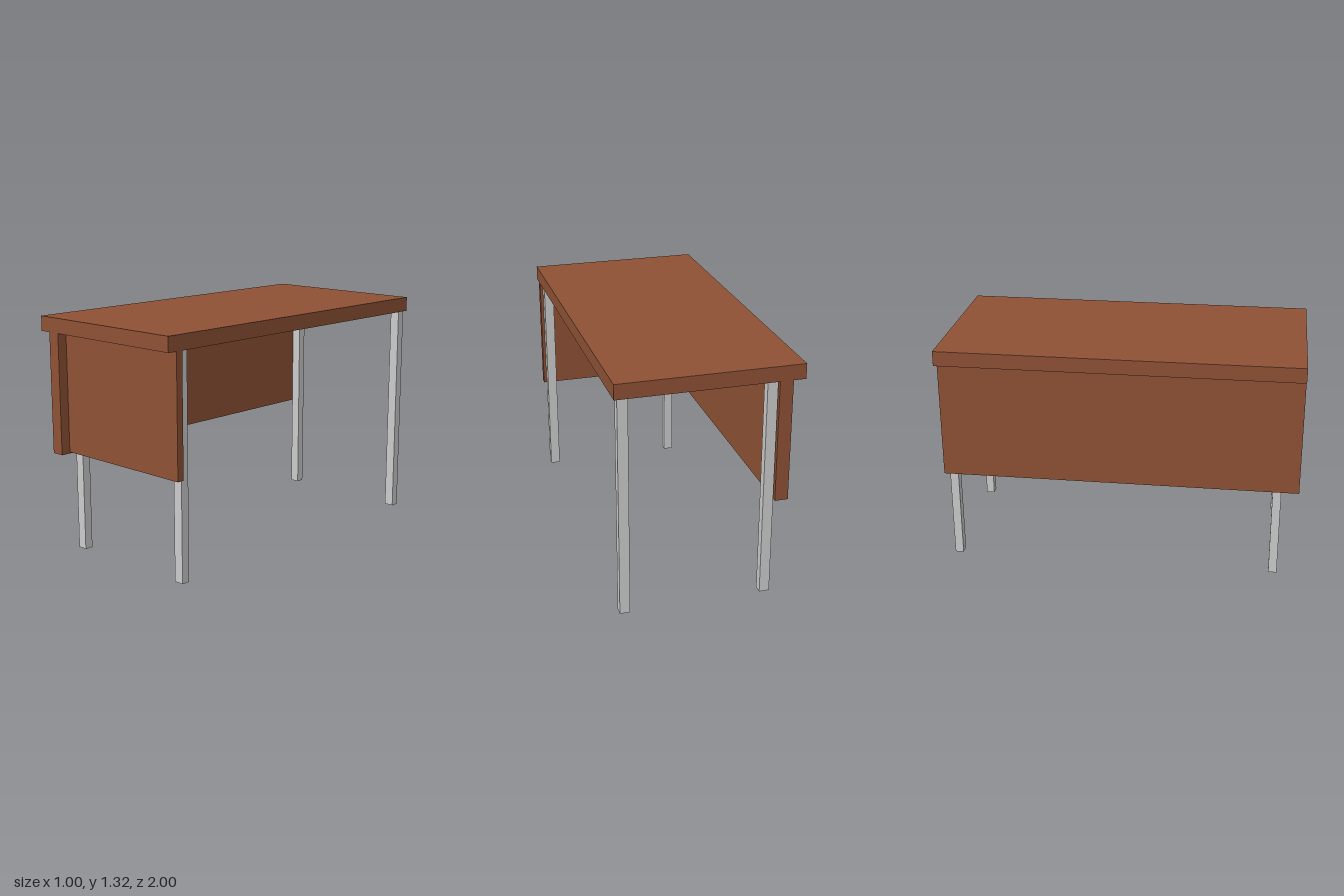
import * as THREE from 'three';

export function createModel() {
  const desk = new THREE.Group();
  desk.name = 'desk';
  const wood = new THREE.MeshStandardMaterial({ color: 0x8e5135 });
  const metal = new THREE.MeshStandardMaterial({
    color: 0xcccccc, flatShading: true, side: THREE.DoubleSide,
  });

  // Wooden board given by its minimum and maximum corners
  function board(name, min, max) {
    const size = max.map((v, i) => v - min[i]);
    const mesh = new THREE.Mesh(new THREE.BoxGeometry(...size), wood);
    mesh.position.set(...max.map((v, i) => (v + min[i]) / 2));
    mesh.name = name;
    desk.add(mesh);
  }

  const underside = 1.232;
  board('desktop', [-0.5, underside, -1], [0.5, 1.315, 1]);
  board('longPanel', [-0.433, 0.555, -1], [-0.36, underside, 1]);
  board('endPanel', [-0.36, 0.563, 0.905], [0.5, underside, 0.945]);

  // Hollow square legs, open at the ends
  const legGeometry = new THREE.CylinderGeometry(Math.SQRT1_2, Math.SQRT1_2, 1, 4, 1, true);
  legGeometry.rotateY(Math.PI / 4);
  legGeometry.scale(0.056, underside, 0.048);
  for (const [xName, x] of [['Right', -0.326], ['Left', 0.455]]) {
    for (const [zName, z] of [['front', 0.88], ['back', -0.966]]) {
      const leg = new THREE.Mesh(legGeometry, metal);
      leg.name = `${zName}${xName}Leg`;
      leg.position.set(x, underside / 2, z);
      desk.add(leg);
    }
  }
  return desk;
}
